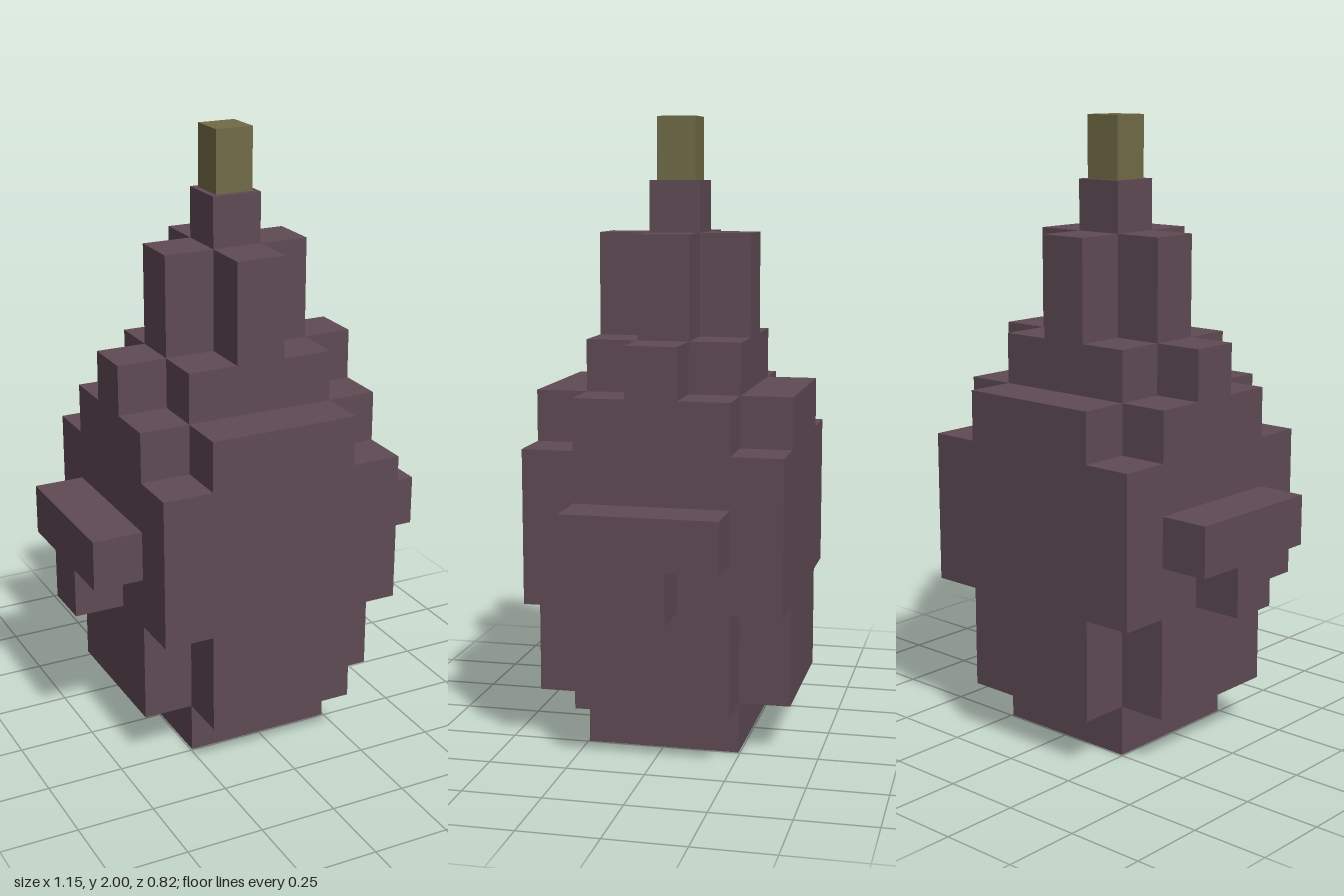
import * as THREE from 'three';

const U = 1.8 / 11; // size of one block

export function createModel() {
  const model = new THREE.Group();
  model.name = 'blockyBulb';

  const skin = new THREE.MeshStandardMaterial({ color: 0x5f4a54 });
  skin.name = 'dusky plum';
  const olive = new THREE.MeshStandardMaterial({ color: 0x716b46 });
  olive.name = 'olive';

  // Slab from a quarter outline (+x to +z, in blocks), mirrored to four quadrants
  function slab(name, quarter, from, to) {
    const back = [...quarter].reverse();
    const outline = [
      ...quarter,
      ...back.map(([x, z]) => [-x, z]),
      ...quarter.map(([x, z]) => [-x, -z]),
      ...back.map(([x, z]) => [x, -z]),
    ].map(([x, z]) => new THREE.Vector2(x * U, z * U));
    const geo = new THREE.ExtrudeGeometry(new THREE.Shape(outline), {
      depth: (to - from) * U, bevelEnabled: false,
    });
    geo.rotateX(-Math.PI / 2);
    const mesh = new THREE.Mesh(geo, skin);
    mesh.name = name;
    mesh.position.y = from * U;
    model.add(mesh);
  }

  function box(name, w, h, d, x, y, z, material) {
    const mesh = new THREE.Mesh(new THREE.BoxGeometry(w, h, d), material);
    mesh.name = name;
    mesh.position.set(x, y, z);
    model.add(mesh);
  }

  const notched = [[2.5, 1.5], [1.5, 1.5], [1.5, 2.5]];

  // Body, from the foot to the tip
  slab('foot', [[1.5, 1.5]], 0, 1);
  slab('lowerBody', notched, 1, 3);
  slab('middleBody', [[2.5, 2.5]], 3, 6);
  slab('upperBody', notched, 6, 7);
  slab('shoulders', [[2.5, 0.5], [1.5, 0.5], [1.5, 1.5]], 7, 8);
  slab('neck', [[1.5, 0.5], [0.5, 0.5], [0.5, 1.5]], 8, 10);
  slab('tip', [[0.5, 0.5]], 10, 11);

  // T-shaped knobs on both sides
  for (const [side, s] of [['left', 1], ['right', -1]]) {
    box(side + 'KnobBar', U, U, 3 * U, s * 3 * U, 4.5 * U, 0, skin);
    box(side + 'KnobStem', U, U, U, s * 3 * U, 3.5 * U, 0, skin);
  }

  // Stalk on top
  box('stalk', 0.125, 0.2, 0.125, 0, 1.9, 0, olive);

  return model;
}
